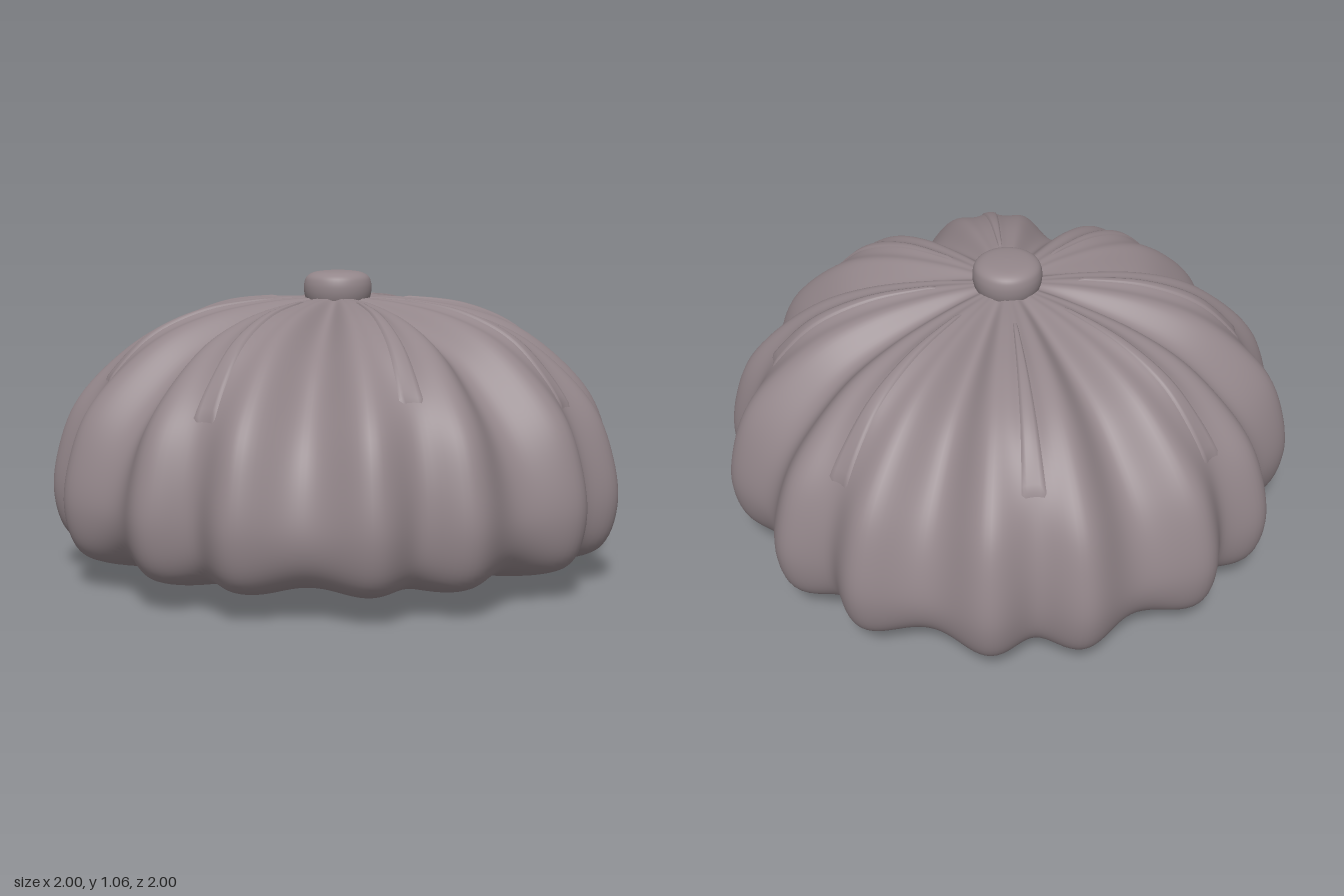
import * as THREE from 'three';

const curve = (pts) => new THREE.SplineCurve(pts.map(([r, y]) => new THREE.Vector2(r, y)));

// Matching (radius, height) profiles from the underside to the crown
const ridge = curve([
  [0, 0.02], [0.11, 0.014], [0.2, 0.03], [0.4, 0.026], [0.65, 0.045], [0.88, 0.085], [0.975, 0.145], [1.013, 0.28],
  [0.995, 0.43], [0.935, 0.59], [0.82, 0.725], [0.66, 0.845], [0.475, 0.915], [0.27, 0.95], [0.1, 0.96], [0, 0.96]]);
const deepGroove = curve([
  [0, 0.02], [0.11, 0.014], [0.2, 0.05], [0.4, 0.055], [0.63, 0.07], [0.82, 0.105], [0.905, 0.17], [0.935, 0.28],
  [0.905, 0.42], [0.84, 0.55], [0.735, 0.67], [0.605, 0.78], [0.435, 0.86], [0.25, 0.92], [0.1, 0.955], [0, 0.96]]);
const softGroove = curve([
  [0, 0.02], [0.11, 0.014], [0.2, 0.045], [0.4, 0.045], [0.63, 0.058], [0.82, 0.095], [0.905, 0.16], [0.937, 0.28],
  [0.925, 0.44], [0.875, 0.595], [0.79, 0.73], [0.665, 0.85], [0.48, 0.927], [0.275, 0.955], [0.1, 0.96], [0, 0.96]]);

// Sixteen lobes in pairs; the groove inside each pair fades out towards the crown
function surfacePoint(t, angle, lift = 0) {
  const lobeAngle = angle + 0.034 * Math.sin(8 * angle);
  const w = (1 - Math.cos(16 * lobeAngle)) / 2;
  const soft = (1 + Math.cos(8 * lobeAngle)) / 2;
  const p = ridge.getPoint(t).multiplyScalar(w)
    .addScaledVector(softGroove.getPoint(t), (1 - w) * soft)
    .addScaledVector(deepGroove.getPoint(t), (1 - w) * (1 - soft));
  // Gathered folds around the underside button
  const pucker = Math.exp(-Math.pow((t * 15 - 2) / 0.6, 2));
  p.y += 0.012 * pucker * Math.sin(24 * angle + Math.sin(5 * angle));
  const r = p.x + lift * 0.7;
  return new THREE.Vector3(r * Math.sin(angle), p.y + lift * 0.7, r * Math.cos(angle));
}

// Grid of quads, closed around when wrap is set
function gridGeometry(rows, cols, wrap, pointAt) {
  const positions = [], index = [];
  const n = wrap ? cols : cols + 1;
  for (let i = 0; i <= rows; i++)
    for (let j = 0; j < n; j++) positions.push(...pointAt(i / rows, j / cols).toArray());
  for (let i = 0; i < rows; i++)
    for (let j = 0; j < cols; j++) {
      const a = i * n + j, b = i * n + ((j + 1) % n), c = a + n, d = b + n;
      index.push(a, b, c, b, d, c);
    }
  const g = new THREE.BufferGeometry();
  g.setAttribute('position', new THREE.Float32BufferAttribute(positions, 3));
  g.setIndex(index);
  g.computeVertexNormals();
  return g;
}

export function createModel() {
  const model = new THREE.Group();
  model.name = 'ribbedCushion';
  const mauve = new THREE.MeshStandardMaterial({ color: 0x93868a });
  mauve.name = 'mauveGrey';
  const add = (geometry, name) => {
    const mesh = new THREE.Mesh(geometry, mauve);
    mesh.name = name;
    model.add(mesh);
    return mesh;
  };

  // Lobed body
  add(gridGeometry(90, 320, true, (u, v) => surfacePoint(u, v * Math.PI * 2)), 'body');

  // Thin strips lying in the eight soft grooves, tapering towards the crown
  for (let k = 0; k < 8; k++) {
    const angle = k * Math.PI / 4;
    const start = k % 2 ? 9.6 / 15 : 9.1 / 15;
    add(gridGeometry(24, 8, false, (u, v) => {
      const t = start + u * (13.2 / 15 - start);
      const halfWidth = 0.045 * (1 - 0.85 * u) * Math.min(1, 0.7 + u * 8);
      const edge = v === 0 || v === 1 || u === 0 || u === 1;
      const r = Math.max(0.15, softGroove.getPoint(t).x);
      return surfacePoint(t, angle + (v * 2 - 1) * halfWidth / r, edge ? -0.003 : 0.005);
    }), 'grooveStrip');
  }

  // Rounded knob on the crown
  const knob = [[0.108, 0.94], [0.116, 0.962], [0.12, 0.985], [0.119, 1.01], [0.11, 1.033], [0.085, 1.048], [0.045, 1.054], [0, 1.056]];
  add(new THREE.LatheGeometry(curve(knob).getPoints(28).map((p) => p.setX(Math.max(0, p.x))), 48), 'crownKnob');

  // Flat button under the base
  const button = add(new THREE.SphereGeometry(0.11, 32, 12), 'baseButton');
  button.scale.y = 0.12;
  button.position.y = 0.0135;

  return model;
}
